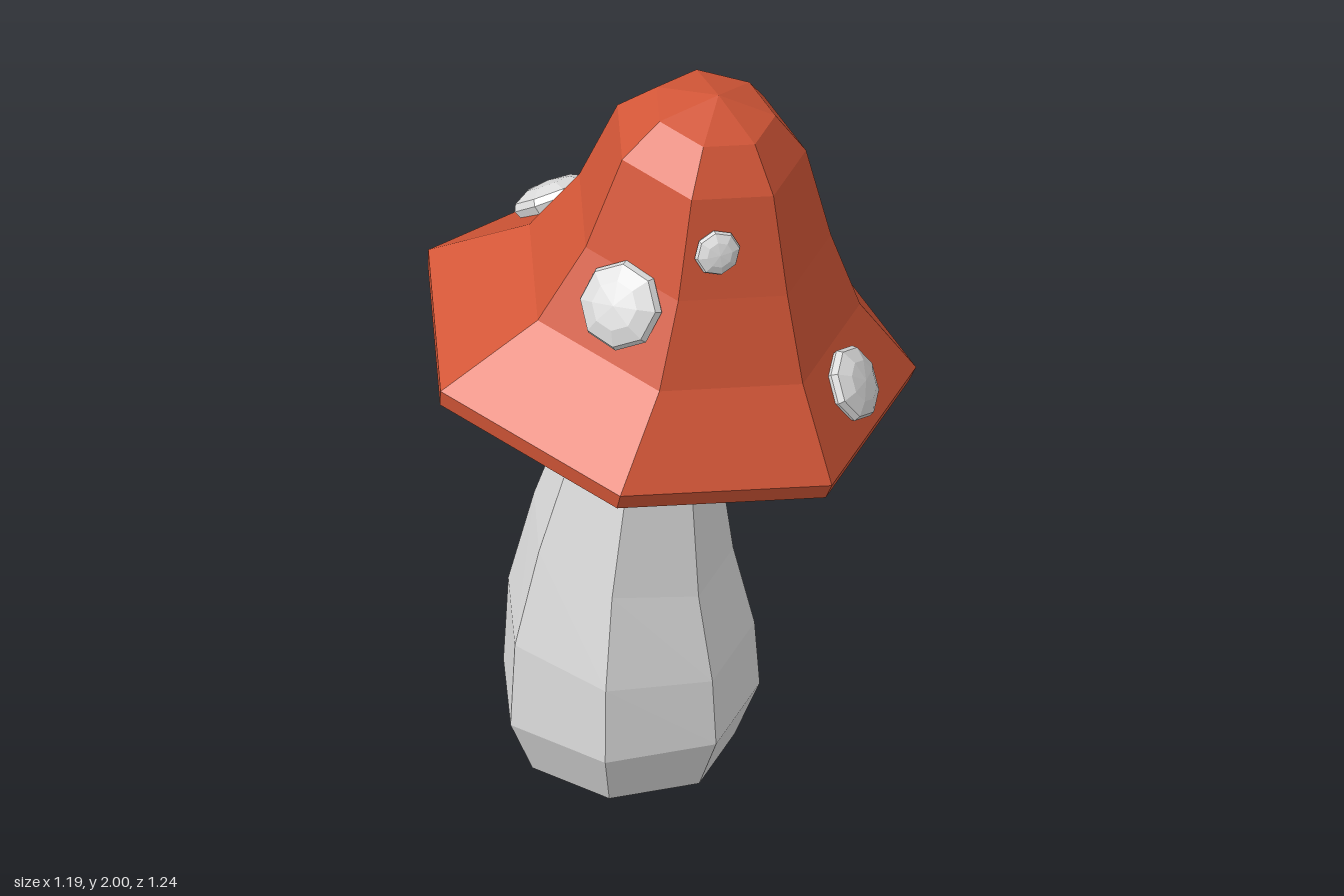
import * as THREE from 'three';

const SIDES = 7;
const CAP_TILT = 0.182;

// Skin a stack of tilted polygon rings, listed bottom to top: [x, y, radius, tilt]
function ringStack(rings) {
  const at = ([x, y, r, tilt], j) => {
    const a = Math.PI + (j % SIDES) * Math.PI * 2 / SIDES;
    const u = r * Math.cos(a);
    return [x + u * Math.cos(tilt), y - u * Math.sin(tilt), r * Math.sin(a)];
  };
  const pos = [];
  for (let i = 0; i < rings.length - 1; i++) {
    const lo = rings[i], up = rings[i + 1];
    for (let j = 0; j < SIDES; j++) {
      if (up[2] > 0) pos.push(...at(lo, j), ...at(up, j), ...at(up, j + 1));
      if (lo[2] > 0) pos.push(...at(lo, j), ...at(up, j + 1), ...at(lo, j + 1));
    }
  }
  const geo = new THREE.BufferGeometry();
  geo.setAttribute('position', new THREE.Float32BufferAttribute(pos, 3));
  geo.computeVertexNormals();
  return geo;
}

export function createModel() {
  const red = new THREE.MeshStandardMaterial({ color: 0xd35637, flatShading: true });
  red.name = 'cap red';
  const grey = new THREE.MeshStandardMaterial({ color: 0xdcdcdc, flatShading: true });
  grey.name = 'pale grey';

  const model = new THREE.Group();
  model.name = 'mushroom';
  const add = (name, geo, mat) => {
    const mesh = new THREE.Mesh(geo, mat);
    mesh.name = name;
    model.add(mesh);
    return mesh;
  };

  // Leaning stem with a swollen foot
  add('stem', ringStack([
    [-0.07, 0, 0, 0],
    [-0.07, 0, 0.267, 0],
    [-0.07, 0.15, 0.329, 0],
    [-0.07, 0.365, 0.318, 0.11],
    [-0.062, 0.615, 0.262, 0.23],
    [-0.037, 0.885, 0.2, 0.2],
    [0.012, 1.15, 0.168, CAP_TILT],
    [0.022, 1.21, 0.165, CAP_TILT],
  ]), grey);

  // Bell-shaped cap with a thin rim
  const rim = [0.016, 1.17, 0.627, CAP_TILT];
  add('cap', ringStack([
    rim,
    [0.026, 1.215, 0.636, CAP_TILT],
    [0.094, 1.4, 0.431, CAP_TILT],
    [0.126, 1.605, 0.328, CAP_TILT],
    [0.147, 1.855, 0.246, CAP_TILT],
    [0.162, 1.953, 0.155, CAP_TILT],
    [0.175, 2.0, 0, CAP_TILT],
  ]), red);

  // Shallow underside of the cap
  add('capUnderside', ringStack([
    [0.01, 1.13, 0, CAP_TILT],
    [0.01, 1.13, 0.36, CAP_TILT],
    rim,
  ]), grey);

  // Domed spots: position, radius, heading around the cap and upward slope in degrees
  const spots = [
    [0.05, 1.55, 0.335, 0.113, 102.9, 27],
    [0.27, 1.705, 0.24, 0.06, 51.4, 20],
    [0.54, 1.235, 0.01, 0.097, 0, 38],
    [-0.355, 1.415, -0.22, 0.108, 205.7, 45],
    [0.09, 1.7, -0.283, 0.074, -102.9, 20],
  ];
  const tilt = new THREE.Vector3(0, 0, 1);
  const up = new THREE.Vector3(0, 1, 0);
  for (const [x, y, z, r, heading, slope] of spots) {
    const profile = [[0.85, -0.35], [1, -0.02], [0.92, 0.14], [0.55, 0.32], [0, 0.38]]
      .map(([a, b]) => new THREE.Vector2(a * r, b * r));
    const spot = add('spot', new THREE.LatheGeometry(profile, 8), grey);
    const h = THREE.MathUtils.degToRad(heading), s = THREE.MathUtils.degToRad(slope);
    const normal = new THREE.Vector3(
      Math.cos(h) * Math.cos(s), Math.sin(s), Math.sin(h) * Math.cos(s)
    ).applyAxisAngle(tilt, -CAP_TILT);
    spot.position.set(x, y, z);
    spot.quaternion.setFromUnitVectors(up, normal);
  }

  return model;
}
